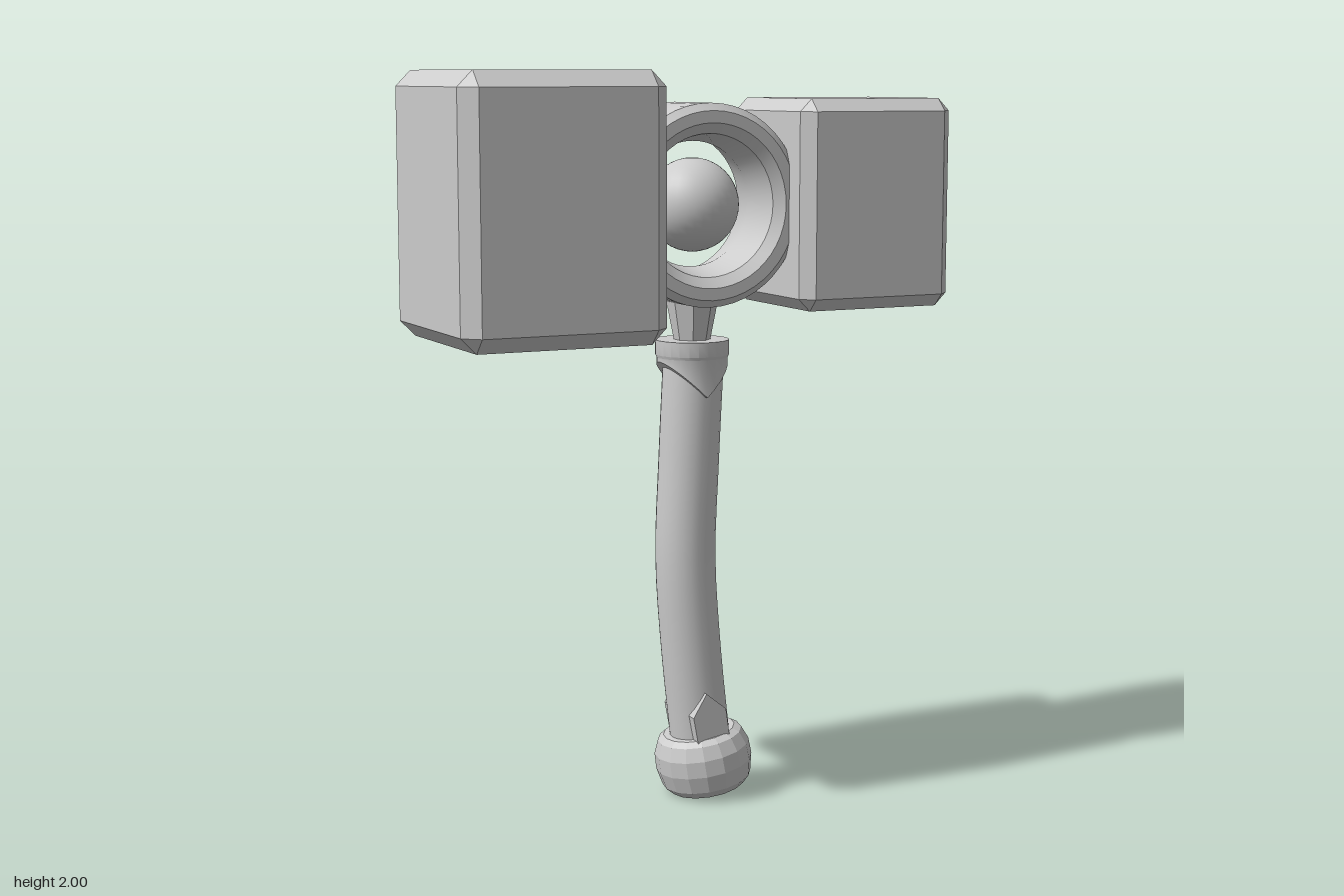
import * as THREE from 'three';
import { toCreasedNormals } from 'three/addons/utils/BufferGeometryUtils.js';
import { ConvexGeometry } from 'three/addons/geometries/ConvexGeometry.js';

const TILT = 0.17; // lean of the pommel, following the handle's lower end

// Box with every edge cut at 45 degrees and a triangle at each corner
function chamferBox(w, h, d, c) {
  const pts = [];
  for (const x of [-1, 1]) for (const y of [-1, 1]) for (const z of [-1, 1]) {
    for (let k = 0; k < 3; k++) {
      pts.push(new THREE.Vector3(
        x * (w / 2 - (k === 0 ? 0 : c)),
        y * (h / 2 - (k === 1 ? 0 : c)),
        z * (d / 2 - (k === 2 ? 0 : c))));
    }
  }
  return new ConvexGeometry(pts);
}

function lathe(profile, sides) {
  return new THREE.LatheGeometry(profile.map(([r, y]) => new THREE.Vector2(r, y)), sides);
}

export function createModel() {
  const group = new THREE.Group();
  group.name = 'hammer';
  const grey = new THREE.MeshStandardMaterial({ color: 0xcccccc });
  grey.name = 'grey';

  const add = (name, geometry, x = 0, y = 0, z = 0, parent = group) => {
    const mesh = new THREE.Mesh(geometry, grey);
    mesh.name = name;
    mesh.position.set(x, y, z);
    parent.add(mesh);
    return mesh;
  };

  // Two striking blocks of different size
  add('largeBlock', chamferBox(0.565, 0.7, 0.55, 0.042), -0.4375, 1.65, 0);
  add('smallBlock', chamferBox(0.46, 0.565, 0.44, 0.034), 0.487, 1.6425, 0);

  // Ring between the blocks, open front to back
  const ring = lathe([
    [0.168, 0], [0.19, -0.105], [0.218, -0.128], [0.25, -0.128], [0.27, -0.11],
    [0.27, 0.11], [0.25, 0.128], [0.218, 0.128], [0.19, 0.105], [0.168, 0],
  ], 48).rotateX(Math.PI / 2);
  add('ring', toCreasedNormals(ring, 0.5), 0.03, 1.645, 0);
  add('orb', new THREE.SphereGeometry(0.126, 32, 20), 0.03, 1.643, 0);

  // Flared eight-sided neck below the ring
  const neck = new THREE.CylinderGeometry(0.075, 0.046, 0.15, 8).rotateY(Math.PI / 8);
  add('neck', toCreasedNormals(neck, 0.3), 0.03, 1.335, 0);

  // Collar whose lower edge drops to a point at front and back
  const collar = lathe([
    [0.078, 1], [0.097, 1], [0.097, 1.232], [0.101, 1.24], [0.101, 1.28], [0.03, 1.28],
  ], 24);
  const cp = collar.attributes.position;
  for (let i = 0; i < cp.count; i++) {
    if (cp.getY(i) < 1.1) cp.setY(i, Math.min(1.225, 1.13 + Math.abs(cp.getX(i)) * 0.95));
  }
  add('collar', toCreasedNormals(collar, 0.5), 0.03, 0, 0);

  // Gently bowed handle
  const path = new THREE.CatmullRomCurve3([
    [0.035, 1.25], [0.02, 0.95], [0.01, 0.68], [0.027, 0.42], [0.06, 0.12],
  ].map(([x, y]) => new THREE.Vector3(x, y, 0)));
  add('handle', new THREE.TubeGeometry(path, 16, 0.083, 24, false));

  // Tilted pommel
  const pommel = new THREE.Group();
  pommel.name = 'pommel';
  pommel.position.set(0.066, 0.1, 0);
  pommel.rotation.z = TILT;
  group.add(pommel);
  const knob = lathe([
    [0, -0.08], [0.105, -0.08], [0.125, -0.058], [0.135, -0.01],
    [0.133, 0.035], [0.118, 0.072], [0.1, 0.085], [0.07, 0.085],
  ], 16);
  add('knob', toCreasedNormals(knob, 0.2), 0, 0, 0, pommel);

  // Pointed tongues rising from the pommel at front and back
  const tongue = new THREE.Shape([
    [-0.048, 0.05], [0.048, 0.05], [0.05, 0.155], [0, 0.212], [-0.05, 0.155],
  ].map(([x, y]) => new THREE.Vector2(x, y)));
  for (const side of [-1, 1]) {
    const plate = new THREE.ExtrudeGeometry(tongue, { depth: 0.03, bevelEnabled: false });
    plate.translate(0, 0, -0.015);
    add(side > 0 ? 'frontTongue' : 'backTongue', plate, 0, 0, side * 0.079, pommel);
  }

  return group;
}
